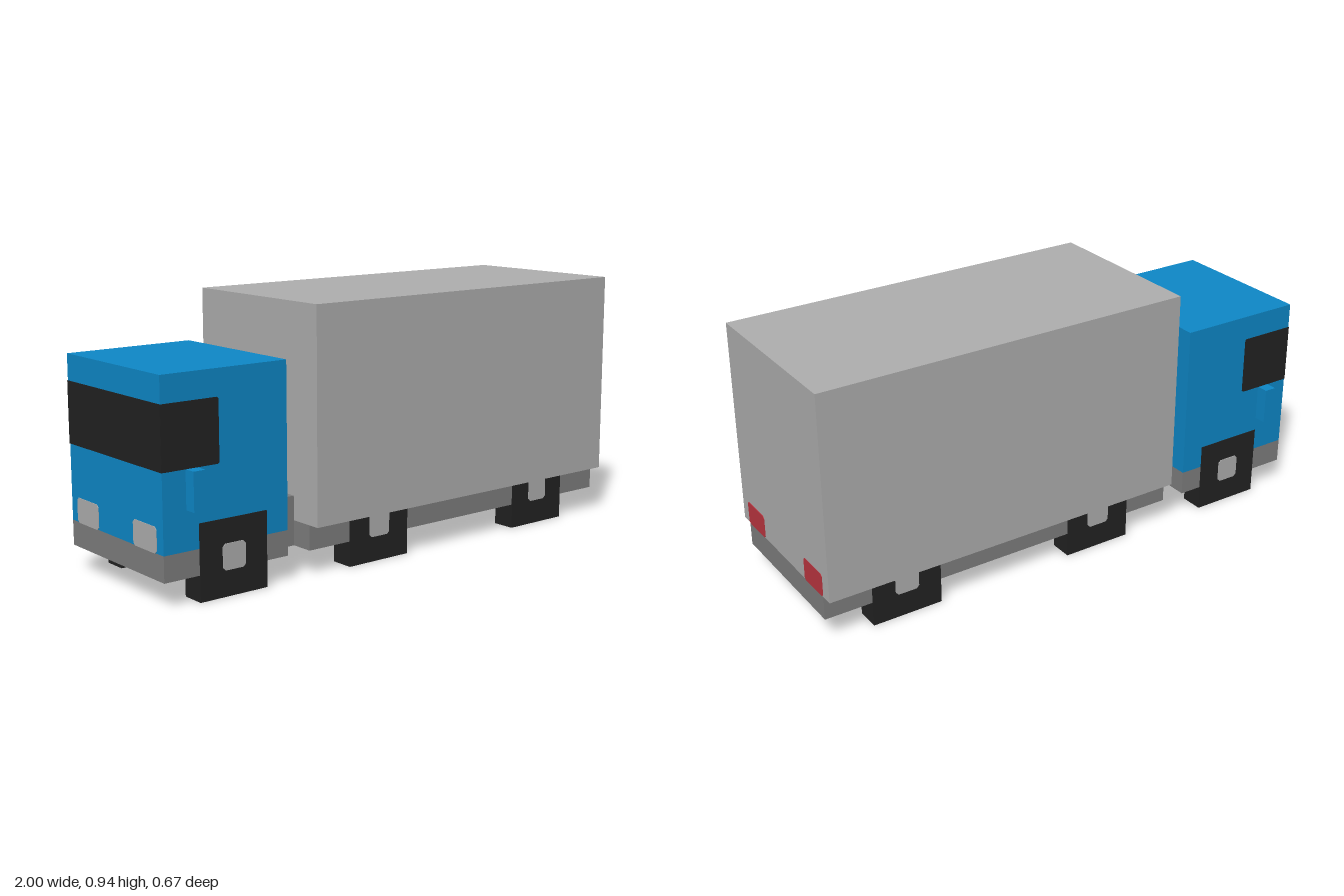
import * as THREE from 'three';

const flat = (name, color) => {
  const m = new THREE.MeshStandardMaterial({ color });
  m.name = name;
  return m;
};

export function createModel() {
  const truck = new THREE.Group();
  truck.name = 'boxTruck';

  const blue = flat('cabBlue', 0x0e88c8);
  const lightGrey = flat('lightGrey', 0xafafaf);
  const darkGrey = flat('chassisGrey', 0x7e7e7e);
  const black = flat('black', 0x222222);
  const red = flat('lampRed', 0xbc3540);

  const add = (name, geometry, material) => {
    const mesh = new THREE.Mesh(geometry, material);
    mesh.name = name;
    truck.add(mesh);
    return mesh;
  };

  // box given by its lower and upper limits on each axis
  const block = (name, material, [x0, x1], [y0, y1], [z0, z1]) => {
    const mesh = add(name, new THREE.BoxGeometry(x1 - x0, y1 - y0, z1 - z0), material);
    mesh.position.set((x0 + x1) / 2, (y0 + y1) / 2, (z0 + z1) / 2);
    return mesh;
  };

  // thin plate with clipped corners, centred on a point and turned about y
  const plate = (name, material, w, h, [x, y, z], turn, cut = 0.01) => {
    const a = w / 2, b = h / 2;
    const shape = new THREE.Shape([
      [-a + cut, -b], [a - cut, -b], [a, -b + cut], [a, b - cut],
      [a - cut, b], [-a + cut, b], [-a, b - cut], [-a, -b + cut],
    ].map(([u, v]) => new THREE.Vector2(u, v)));
    const geometry = new THREE.ExtrudeGeometry(shape, { depth: 0.004, bevelEnabled: false });
    geometry.translate(0, 0, -0.002);
    const mesh = add(name, geometry, material);
    mesh.position.set(x, y, z);
    mesh.rotation.y = turn;
  };

  // bodies
  block('cab', blue, [-1, -0.513], [0.18, 0.757], [-0.288, 0.288]);
  block('cabChassis', darkGrey, [-1, -0.513], [0.091, 0.18], [-0.288, 0.288]);
  block('coupling', darkGrey, [-0.513, -0.421], [0.091, 0.267], [-0.202, 0.202]);
  block('cargoChassis', darkGrey, [-0.421, 1], [0.091, 0.18], [-0.288, 0.288]);
  block('cargoBox', lightGrey, [-0.421, 1], [0.18, 0.935], [-0.333, 0.333]);

  // windscreen wraps round to the side windows
  block('windscreen', black, [-1.002, -0.998], [0.448, 0.665], [-0.289, 0.289]);

  for (const side of [-1, 1]) {
    const turn = side > 0 ? 0 : Math.PI;
    const span = (a, b) => (side > 0 ? [a, b] : [-b, -a]);

    plate('sideWindow', black, 0.217, 0.217, [-0.8925, 0.5565, side * 0.288], turn, 0.005);
    block('mirror', blue, [-0.912, -0.867], [0.315, 0.448], span(0.288, 0.333));

    // square wheels with hub plates
    for (const x of [-0.733, -0.112, 0.689]) {
      block('wheel', black, [x - 0.133, x + 0.133], [0, 0.264], span(0.202, 0.29));
      plate('hub', lightGrey, 0.09, 0.09, [x, 0.135, side * 0.291], turn);
    }

    // lamps
    plate('headlight', lightGrey, 0.14, 0.088, [-1, 0.223, side * 0.18], -Math.PI / 2);
    plate('tailLight', red, 0.132, 0.086, [1, 0.223, side * 0.222], Math.PI / 2, 0.007);
  }

  return truck;
}
